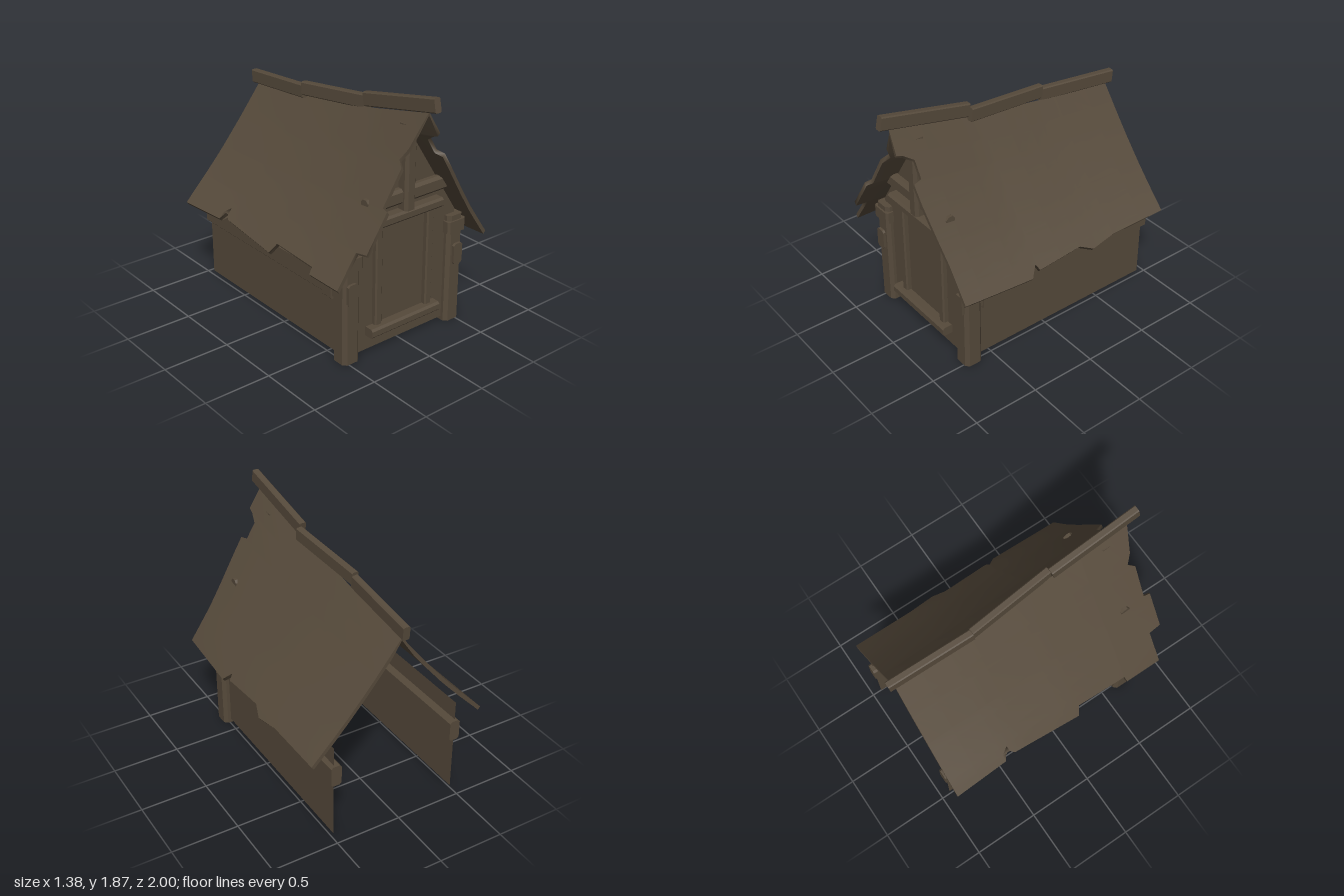
import * as THREE from 'three';

const wood = new THREE.MeshStandardMaterial({ color: 0x564a3b, side: THREE.DoubleSide });

// Piecewise-linear lookup in a list of [key, value] pairs
function look(list, k) {
  if (k <= list[0][0]) return list[0][1];
  for (let i = 1; i < list.length; i++) {
    const [a, va] = list[i - 1], [b, vb] = list[i];
    if (k <= b) return va + (vb - va) * (k - a) / (b - a);
  }
  return list[list.length - 1][1];
}

function add(parent, name, geometry) {
  const mesh = new THREE.Mesh(geometry, wood);
  mesh.name = name;
  parent.add(mesh);
  return mesh;
}

// Chamfered timber of section w x h running from point a to point b
function timber(parent, name, w, h, a, b, c = 0.015) {
  const x = w / 2, y = h / 2;
  const shape = new THREE.Shape([
    [-x + c, -y], [x - c, -y], [x, -y + c], [x, y - c],
    [x - c, y], [-x + c, y], [-x, y - c], [-x, -y + c],
  ].map(p => new THREE.Vector2(...p)));
  const from = new THREE.Vector3(...a), to = new THREE.Vector3(...b);
  const geo = new THREE.ExtrudeGeometry(shape, { depth: from.distanceTo(to), bevelEnabled: false });
  const mesh = add(parent, name, geo);
  mesh.position.copy(from);
  mesh.lookAt(to);
  return mesh;
}

// Ridge height along z, and ragged outlines of the two roof slopes
const ridge = [[-0.95, 1.46], [-0.35, 1.53], [0.3, 1.62], [0.92, 1.755]];
const frontEdge = {
  right: [[0, 0.92], [0.13, 0.93], [0.14, 0.88], [0.17, 0.81], [0.27, 0.81], [0.29, 0.875], [0.4, 0.87], [0.75, 0.835], [1, 0.83]],
  left: [[0, 0.91], [0.19, 0.87], [0.25, 0.83], [0.29, 0.88], [0.51, 0.875], [0.52, 0.925], [0.77, 0.925], [0.78, 0.83], [1, 0.83]],
};
const eaveEdge = {
  right: [[-0.95, 0.67], [-0.47, 0.67], [-0.27, 0.69], [-0.17, 0.655], [0.2, 0.67], [0.22, 0.64], [0.28, 0.69], [0.83, 0.67]],
  left: [[-0.95, 0.69], [-0.53, 0.675], [-0.47, 0.6], [-0.44, 0.66], [0.1, 0.69], [0.13, 0.64], [0.53, 0.65], [0.54, 0.68], [0.83, 0.68]],
};

// One thick sagging slope, bent out of a subdivided box
function roofSlope(parent, name, side, sign) {
  const front = frontEdge[side], eave = eaveEdge[side];
  const sList = [...new Set([...front.map(p => p[0]), 0.6, 0.88, 0.95])].sort((a, b) => a - b);
  const zList = [...new Set([...eave.map(p => p[0]), -0.75, -0.35, 0, 0.4, 0.68])].sort((a, b) => a - b);
  const nS = sList.length - 1, nZ = zList.length - 1;
  const geo = new THREE.BoxGeometry(1, 1, 1, nS, 1, nZ);
  const pos = geo.attributes.position;
  for (let i = 0; i < pos.count; i++) {
    const u = Math.round((pos.getX(i) + 0.5) * nS);
    const s = sList[sign > 0 ? u : nS - u];
    const j = Math.round((pos.getZ(i) + 0.5) * nZ);
    const z = j === nZ ? look(front, s) : zList[j];
    const reach = s === 1 ? look(eave, z) : 0.67 * s;
    const t = reach / 0.67;
    const top = look(ridge, z);
    const y = top + (0.69 - top) * t - 0.03 * Math.sin(Math.PI * Math.min(t, 1));
    const under = pos.getY(i) < 0 ? 1 : 0;
    pos.setXYZ(i, sign * Math.max(0, reach - under * 0.018), y - under * 0.022, z);
  }
  geo.computeVertexNormals();
  add(parent, name, geo);
}

export function createModel() {
  const model = new THREE.Group();
  model.name = 'hut';

  // Thin front wall rising into the gable
  const gable = new THREE.Shape([[-0.49, 0.03], [0.49, 0.03], [0.49, 0.87], [0, 1.63], [-0.49, 0.87]]
    .map(p => new THREE.Vector2(...p)));
  add(model, 'frontWall', new THREE.ShapeGeometry(gable)).position.z = 0.69;

  for (const sign of [1, -1]) {
    const side = new THREE.Group();
    side.name = sign > 0 ? 'leftSide' : 'rightSide';
    model.add(side);

    // Open-backed side wall
    const wall = add(side, 'sideWall', new THREE.PlaneGeometry(1.62, 0.73));
    wall.rotation.y = sign * Math.PI / 2;
    wall.position.set(sign * 0.49, 0.395, -0.12);

    // Corner post with cap, long side rail and its collar
    timber(side, 'cornerPost', 0.14, 0.14, [sign * 0.47, 0, 0.667], [sign * 0.47, 0.84, 0.667], 0.025);
    timber(side, 'postCap', 0.165, 0.165, [sign * 0.47, 0.71, 0.667], [sign * 0.47, 0.8, 0.667]);
    timber(side, 'sideRail', 0.08, 0.16, [sign * 0.48, 0.54, -0.95], [sign * 0.48, 0.54, 0.757]);
    timber(side, 'railCollar', 0.1, 0.18, [sign * 0.485, 0.54, 0.485], [sign * 0.485, 0.54, 0.58]);

    // Door upright
    timber(model, 'doorUpright', 0.06, 0.05, [sign * 0.23, 0.2, 0.705], [sign * 0.23, 0.97, 0.705], 0.01);
  }

  // Door sill and lintel, tie beam and king post
  timber(model, 'doorSill', 0.09, 0.07, [-0.32, 0.18, 0.725], [0.305, 0.18, 0.725]);
  timber(model, 'doorLintel', 0.09, 0.07, [-0.32, 0.993, 0.725], [0.305, 0.993, 0.725]);
  timber(model, 'tieBeam', 0.07, 0.11, [-0.355, 1.125, 0.71], [0.355, 1.125, 0.71], 0.02);
  timber(model, 'kingPost', 0.095, 0.1, [0, 1.025, 0.725], [0, 1.64, 0.725], 0.02);

  // Roof slopes
  roofSlope(model, 'leftRoofSlope', 'right', 1);
  roofSlope(model, 'rightRoofSlope', 'left', -1);

  // Three ridge logs laid end to end
  const logs = [
    [[0, 1.683, 0.3], [0, 1.826, 0.99]],
    [[-0.025, 1.59, -0.35], [0.027, 1.655, 0.3]],
    [[0, 1.512, -0.995], [-0.025, 1.568, -0.345]],
  ];
  for (const [a, b] of logs) timber(model, 'ridgeLog', 0.052, 0.1, a, b, 0.008);

  return model;
}
